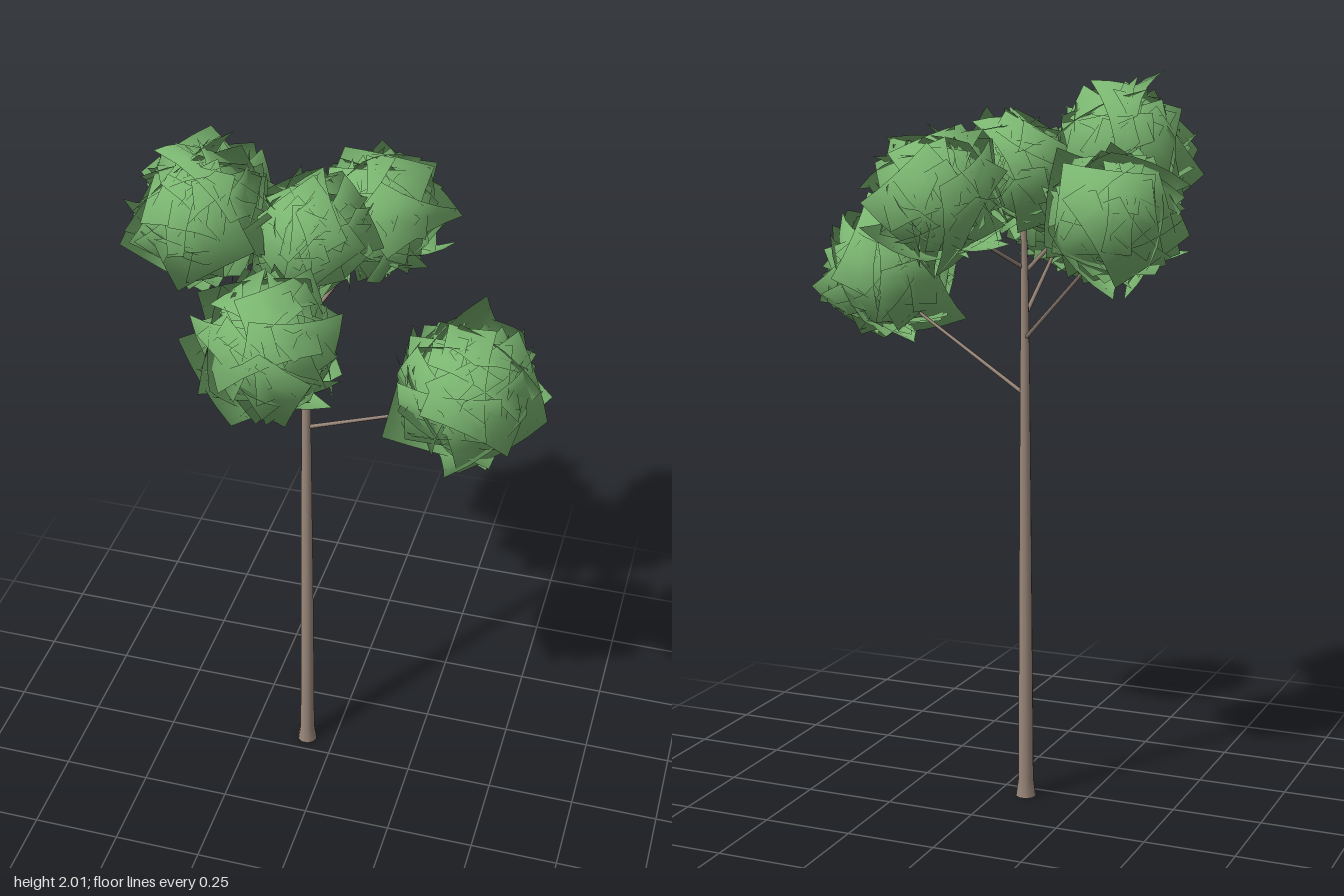
import * as THREE from 'three';
import { mergeGeometries } from 'three/addons/utils/BufferGeometryUtils.js';

const V = (x, y, z) => new THREE.Vector3(x, y, z);

// Small seeded random generator
function seeded(seed) {
  let s = seed;
  return () => (s = (s * 16807) % 2147483647) / 2147483647;
}

// Tapered round limb through [x, y, z, radius] stations
function limb(stations, sides) {
  const pos = [], idx = [];
  stations.forEach(([x, y, z, r], i) => {
    for (let j = 0; j < sides; j++) {
      const a = (j / sides) * Math.PI * 2;
      pos.push(x + Math.cos(a) * r, y, z + Math.sin(a) * r);
      if (i === 0) continue;
      const k = (j + 1) % sides, lo = (i - 1) * sides, hi = i * sides;
      idx.push(lo + j, hi + j, lo + k, lo + k, hi + j, hi + k);
    }
  });
  const geo = new THREE.BufferGeometry();
  geo.setAttribute('position', new THREE.Float32BufferAttribute(pos, 3));
  geo.setIndex(idx);
  geo.computeVertexNormals();
  return geo;
}

// Straight thin branch between two points
function branch(a, b, r0, r1) {
  const dir = b.clone().sub(a);
  const geo = new THREE.CylinderGeometry(r1, r0, dir.length(), 6, 1, true);
  geo.translate(0, dir.length() / 2, 0);
  geo.applyQuaternion(new THREE.Quaternion().setFromUnitVectors(V(0, 1, 0), dir.normalize()));
  return geo.translate(a.x, a.y, a.z);
}

// Spiky ball of large leaf cards crossing near its middle, shaded like one sphere
function leafBall(radius, count, rand) {
  const cards = [];
  for (let i = 0; i < count; i++) {
    // Evenly spread directions, with a tilt and a free spin
    const y = 1 - (2 * (i + 0.5)) / count;
    const a = i * 2.39996 + rand();
    const ring = Math.sqrt(1 - y * y);
    const out = V(Math.cos(a) * ring, y, Math.sin(a) * ring);
    const half = radius * (0.66 + 0.1 * rand());
    const dist = radius * (0.1 + 0.42 * rand());
    const tilt = V(rand() - 0.5, rand() - 0.5, rand() - 0.5);
    const facing = out.clone().add(tilt).normalize();

    const card = new THREE.PlaneGeometry(half * 2, half * 2, 4, 4);
    const p = card.attributes.position;
    for (let k = 0; k < p.count; k++) {
      const d2 = (p.getX(k) ** 2 + p.getY(k) ** 2) / (2 * half * half);
      p.setZ(k, radius * 0.22 * (1 - d2));
    }
    card.rotateZ(rand() * Math.PI * 2);
    card.applyQuaternion(new THREE.Quaternion().setFromUnitVectors(V(0, 0, 1), facing));
    card.translate(out.x * dist, out.y * dist, out.z * dist);
    const n = card.attributes.normal;
    for (let k = 0; k < p.count; k++) {
      const v = V().fromBufferAttribute(p, k).normalize();
      n.setXYZ(k, v.x, v.y, v.z);
    }
    cards.push(card);
  }
  return mergeGeometries(cards);
}

export function createModel() {
  const tree = new THREE.Group();
  tree.name = 'tree';
  const bark = new THREE.MeshStandardMaterial({ color: 0x9a877a, side: THREE.DoubleSide });
  const leaf = new THREE.MeshStandardMaterial({ color: 0x7ab570, side: THREE.DoubleSide });
  const add = (name, geo, mat) => {
    const mesh = new THREE.Mesh(geo, mat);
    mesh.name = name;
    tree.add(mesh);
    return mesh;
  };

  // Slender trunk with a flared foot and a slight lean
  add('trunk', limb([
    [-0.082, 0, -0.053, 0.029],
    [-0.082, 0.05, -0.053, 0.022],
    [-0.081, 0.5, -0.056, 0.019],
    [-0.083, 0.9, -0.065, 0.016],
    [-0.085, 1.25, -0.074, 0.013],
    [-0.086, 1.5, -0.081, 0.01],
    [-0.085, 1.74, -0.09, 0.006],
  ], 10), bark);

  // Leaf balls: name, centre, radius, height where the branch leaves the trunk
  const crowns = [
    ['left', V(0.385, 1.45, 0.065), 0.184, 1.15],
    ['front', V(-0.07, 1.64, 0.29), 0.184, 1.36],
    ['upperRight', V(-0.34, 1.805, -0.015), 0.178, 1.48],
    ['backRight', V(-0.425, 1.655, -0.325), 0.168, 1.3],
    ['back', V(0.045, 1.69, -0.335), 0.176, 1.49],
    ['top', V(-0.075, 1.745, -0.09), 0.155, null],
  ];
  crowns.forEach(([name, centre, radius, start], i) => {
    if (start) {
      const tip = centre.clone().add(V(0, -0.05, 0));
      add(name + 'Branch', branch(V(-0.084, start, -0.074), tip, 0.006, 0.004), bark);
    }
    add(name + 'Leaves', leafBall(radius, 36, seeded(211 + i * 977)), leaf).position.copy(centre);
  });
  return tree;
}
